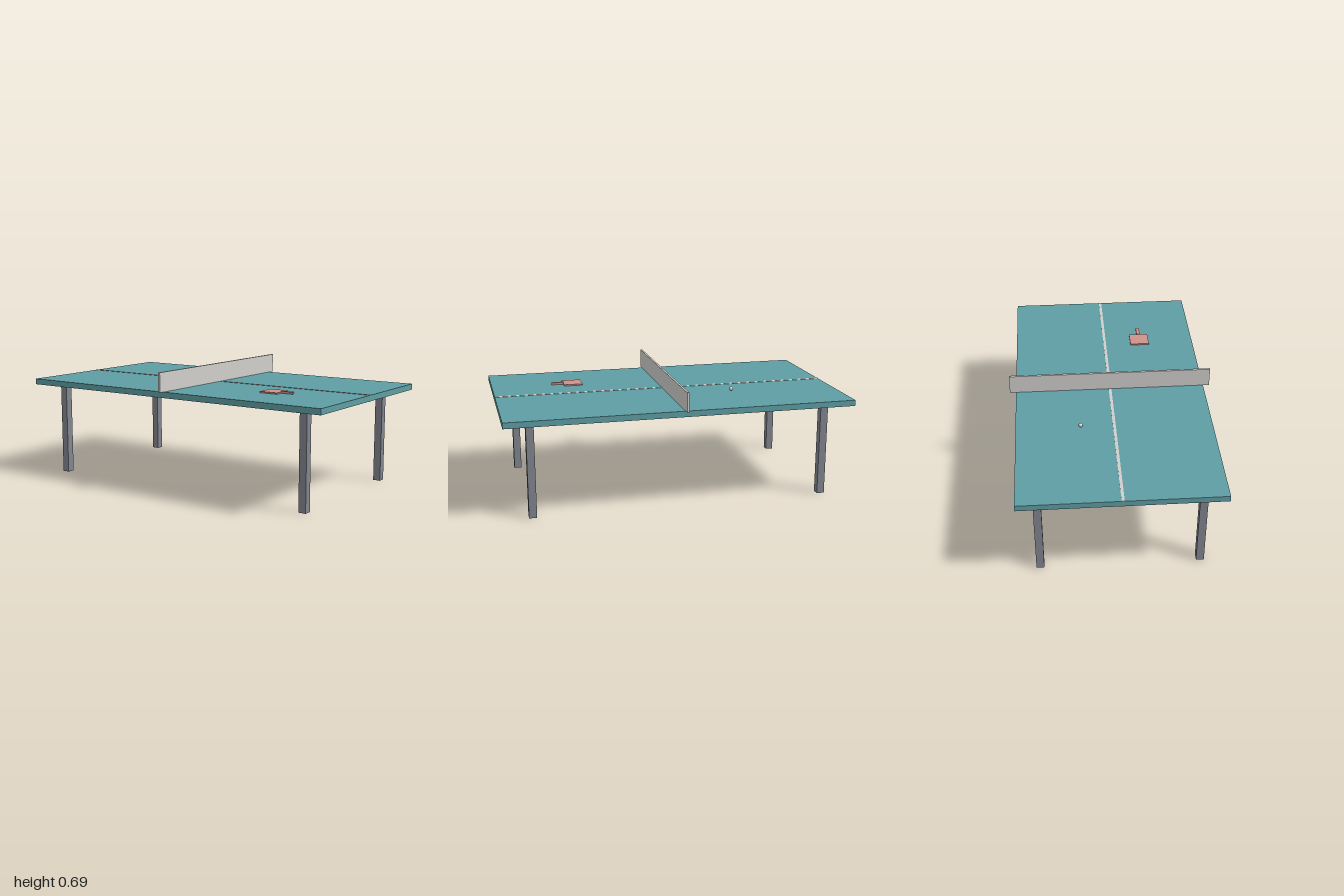
import * as THREE from 'three';

const material = (name, color) => {
  const m = new THREE.MeshStandardMaterial({ color });
  m.name = name;
  return m;
};

export function createModel() {
  const teal = material('teal table', 0x5f9ea4);
  const grey = material('grey legs', 0x82868f);
  const white = material('off white', 0xd0cfcc);
  const red = material('pale red', 0xd0938b);

  const model = new THREE.Group();
  model.name = 'tableTennisTable';

  const box = (name, mat, size, position, parent = model) => {
    const mesh = new THREE.Mesh(new THREE.BoxGeometry(...size), mat);
    mesh.name = name;
    mesh.position.set(...position);
    parent.add(mesh);
    return mesh;
  };

  // Table top
  box('tableTop', teal, [2, 0.034, 1.112], [0, 0.565, 0]);

  // Centre line on the upper and lower faces
  box('centreLineTop', white, [2, 0.002, 0.016], [0, 0.583, 0]);
  box('centreLineBottom', white, [2, 0.002, 0.016], [0, 0.547, 0]);

  // Four square legs
  for (const x of [-0.85, 0.85]) {
    for (const z of [-0.446, 0.446]) {
      box('leg', grey, [0.044, 0.548, 0.044], [x, 0.274, z]);
    }
  }

  // Net, overhanging both long sides
  box('net', white, [0.012, 0.112, 1.184], [0, 0.639, 0]);

  // Bat lying on the table
  const bat = new THREE.Group();
  bat.name = 'bat';
  model.add(bat);
  box('batBlade', red, [0.112, 0.008, 0.116], [0.516, 0.588, 0.22], bat);
  box('batHandle', red, [0.074, 0.012, 0.02], [0.605, 0.59, 0.22], bat);

  // Ball
  const ball = new THREE.Mesh(new THREE.SphereGeometry(0.012, 20, 14), white);
  ball.name = 'ball';
  ball.position.set(-0.37, 0.599, -0.19);
  model.add(ball);

  return model;
}
